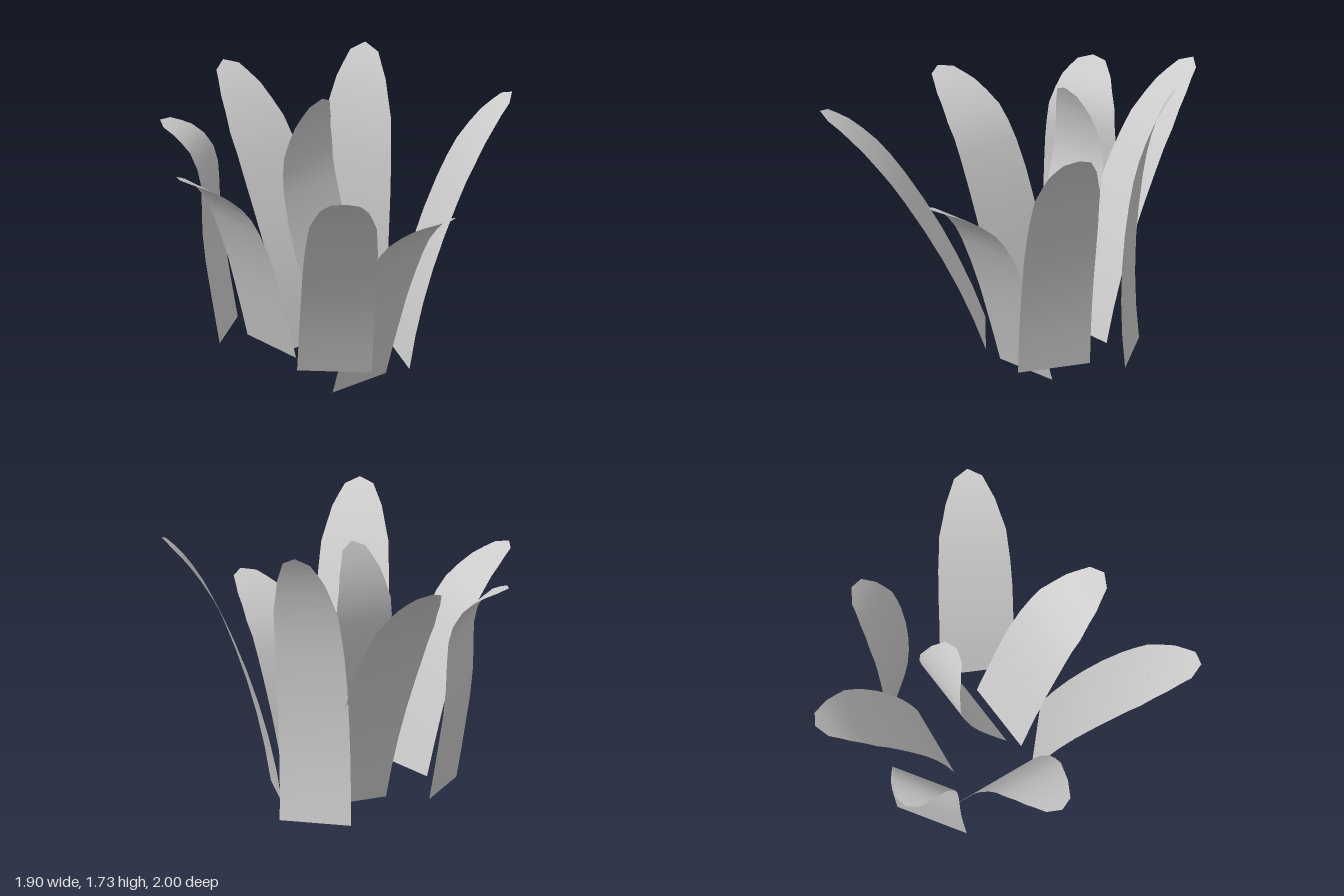
import * as THREE from 'three';

const DEG = Math.PI / 180;

// Positions of the cross rows along a leaf, from base (0) to tip (1)
const ROWS = [0, 0.12, 0.24, 0.36, 0.48, 0.6, 0.68, 0.75, 0.82, 0.88, 0.925, 0.97, 1];

// Half width along the leaf: straight strip with a rounded tip
const OUTLINE = [[0, 0.21], [0.48, 0.21], [0.6, 0.205], [0.75, 0.19], [0.88, 0.14], [0.97, 0.08], [1, 0]];

// Outward lean in degrees along the leaf
const SHORT = [[0, 17], [0.34, 19], [0.62, 28], [0.75, 45], [0.89, 60], [1, 70]];
const LONG = [[0, 8], [0.35, 17], [0.65, 24], [0.85, 36], [1, 50]];
const HOOKED = [[0, 10], [0.34, 9], [0.62, -1], [0.75, 20], [0.89, 60], [1, 75]];

// Linear interpolation in a list of [position, value] pairs
function sample(knots, t) {
  for (let i = 1; i < knots.length; i++) {
    const [a, va] = knots[i - 1];
    const [b, vb] = knots[i];
    if (t <= b) return va + ((vb - va) * (t - a)) / (b - a);
  }
  return knots[knots.length - 1][1];
}

// A flat strip bent outward (+z) along its length, base at the origin
function leafGeometry(length, bend, tilt) {
  const n = ROWS.length - 1;
  const spine = [[0, 0]];
  for (let i = 1; i <= n; i++) {
    let [y, z] = spine[i - 1];
    const steps = 4;
    const d = (ROWS[i] - ROWS[i - 1]) / steps;
    for (let k = 0; k < steps; k++) {
      const a = (sample(bend, ROWS[i - 1] + (k + 0.5) * d) + tilt) * DEG;
      y += Math.cos(a) * d * length;
      z += Math.sin(a) * d * length;
    }
    spine.push([y, z]);
  }
  const geo = new THREE.PlaneGeometry(2, 1, 2, n);
  const p = geo.attributes.position;
  for (let i = 0; i < p.count; i++) {
    const row = Math.round((p.getY(i) + 0.5) * n);
    p.setXYZ(i, p.getX(i) * sample(OUTLINE, ROWS[row]), ...spine[row]);
  }
  geo.computeVertexNormals();
  return geo;
}

// Each leaf: base centre, direction it faces, extra tilt and sideways roll in degrees
const LEAVES = [
  { name: 'frontLeaf', at: [0.12, 0, 0.2], turn: 0, tilt: 0, roll: 0, bend: SHORT, length: 1.46 },
  { name: 'centreLeaf', at: [0.12, 0.25, 0.1], turn: 0, tilt: -39.8, roll: 0, bend: SHORT, length: 1.46 },
  { name: 'rightLeaf', at: [-0.235, 0.225, -0.14], turn: -94, tilt: -1, roll: -2, bend: SHORT, length: 1.46 },
  { name: 'backRightLeaf', at: [-0.21, 0.21, -0.51], turn: -148.5, tilt: 0, roll: 0, bend: HOOKED, length: 1.39 },
  { name: 'frontRightLeaf', at: [-0.14, 0.16, 0.265], turn: -44, tilt: 11, roll: -2.2, bend: LONG, length: 1.7 },
  { name: 'frontLeftLeaf', at: [0.39, 0.105, 0.245], turn: 61.6, tilt: 0, roll: 1.4, bend: LONG, length: 1.7 },
  { name: 'backLeftLeaf', at: [0.5, 0.08, -0.26], turn: 125, tilt: -14, roll: 1.4, bend: LONG, length: 1.7 },
  { name: 'backLeaf', at: [0.18, 0.125, -0.195], turn: 173, tilt: 6, roll: -1.9, bend: LONG, length: 1.7 },
];

export function createModel() {
  const group = new THREE.Group();
  group.name = 'leafTuft';
  const material = new THREE.MeshStandardMaterial({ color: 0xcccccc, side: THREE.DoubleSide });
  for (const leaf of LEAVES) {
    const mesh = new THREE.Mesh(leafGeometry(leaf.length, leaf.bend, leaf.tilt), material);
    mesh.name = leaf.name;
    mesh.position.set(...leaf.at);
    mesh.rotation.set(0, leaf.turn * DEG, leaf.roll * DEG, 'YXZ');
    group.add(mesh);
  }
  return group;
}
